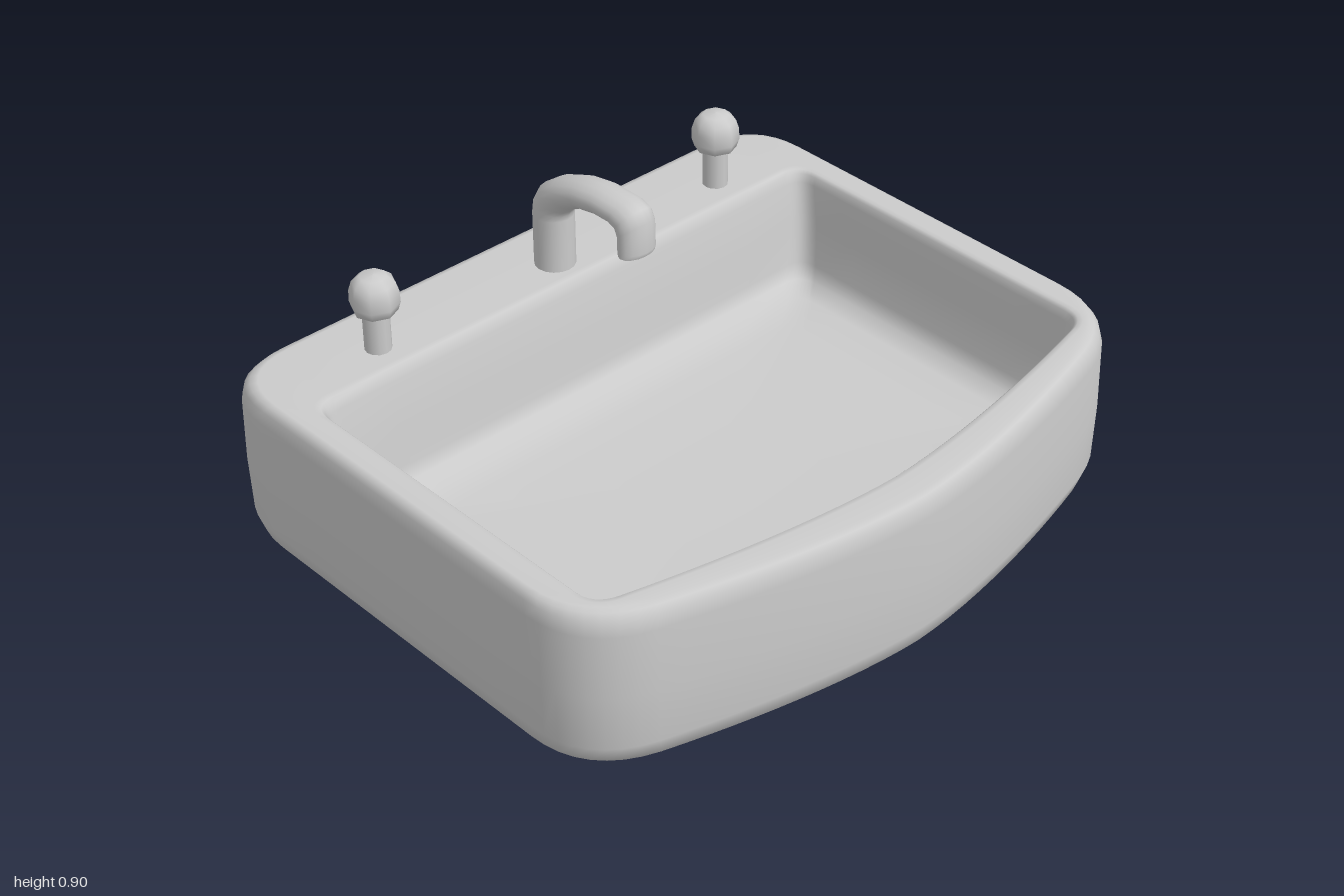
import * as THREE from 'three';

const material = new THREE.MeshStandardMaterial({ color: 0xcccccc, side: THREE.DoubleSide });

// Skin a list of closed rings (counter-clockwise about the travel direction), closing both ends.
function loft(rings, sharpEnds = false) {
  const n = rings[0].length, positions = [], index = [];
  const push = (p) => positions.push(p.x, p.y, p.z) / 3 - 1;
  rings.forEach((ring) => ring.forEach(push));
  for (let r = 0; r < rings.length - 1; r++) {
    for (let i = 0; i < n; i++) {
      const a = r * n + i, b = r * n + (i + 1) % n;
      index.push(a, b, b + n, a, b + n, a + n);
    }
  }
  const close = (r, flip) => {
    const ring = rings[r];
    const start = sharpEnds ? positions.length / 3 : r * n;
    if (sharpEnds) ring.forEach(push);
    const centre = new THREE.Vector3();
    ring.forEach((p) => centre.addScaledVector(p, 1 / n));
    const c = push(centre);
    for (let i = 0; i < n; i++) {
      const a = start + i, b = start + (i + 1) % n;
      if (flip) index.push(c, b, a);
      else index.push(c, a, b);
    }
  };
  close(0, true);
  close(rings.length - 1, false);
  const geometry = new THREE.BufferGeometry();
  geometry.setAttribute('position', new THREE.Float32BufferAttribute(positions, 3));
  geometry.setIndex(index);
  geometry.computeVertexNormals();
  return geometry;
}

// Plan outline: straight back and sides, rounded corners, bowed front.
function outline(y, back, frontCorner, frontMiddle, halfZ, radius) {
  const bow = (z) => frontMiddle - (frontMiddle - frontCorner) * Math.pow(z / halfZ, 1.6);
  const half = [];
  const add = (x, z) => half.push(new THREE.Vector3(x, y, -z));
  const corner = (x0, z0, cx, cz, x1, z1) => {
    const curve = new THREE.QuadraticBezierCurve(
      new THREE.Vector2(x0, z0), new THREE.Vector2(cx, cz), new THREE.Vector2(x1, z1));
    curve.getPoints(8).forEach((p) => add(p.x, p.y));
  };
  const edge = halfZ - radius;
  for (let i = 0; i < 12; i++) add(bow(edge * i / 12), edge * i / 12);
  corner(bow(edge), edge, frontCorner, halfZ, frontCorner - radius, halfZ);
  for (let i = 1; i < 6; i++) {
    add(THREE.MathUtils.lerp(frontCorner - radius, back + radius, i / 6), halfZ);
  }
  corner(back + radius, halfZ, back, halfZ, back, edge);
  for (let i = 1; i <= 5; i++) add(back, edge * (1 - i / 5));
  const mirrored = half.slice(1, -1).reverse().map((p) => new THREE.Vector3(p.x, y, -p.z));
  return half.concat(mirrored);
}

function makeBasin() {
  // y, back x, front corner x, front middle x, half depth, corner radius
  const levels = [
    [0.0, -0.3, 0.2, 0.3, 0.38, 0.1],
    [0.012, -0.6, 0.44, 0.59, 0.74, 0.15],
    [0.028, -0.74, 0.54, 0.73, 0.89, 0.18],
    [0.045, -0.795, 0.585, 0.785, 0.945, 0.19],
    [0.075, -0.83, 0.615, 0.825, 0.98, 0.2],
    [0.13, -0.845, 0.63, 0.84, 0.995, 0.2],
    [0.3, -0.848, 0.633, 0.843, 1.0, 0.2],
    [0.49, -0.845, 0.63, 0.84, 0.998, 0.2],
    [0.53, -0.837, 0.622, 0.832, 0.992, 0.2],
    [0.548, -0.822, 0.61, 0.82, 0.982, 0.2],
    [0.555, -0.8, 0.6, 0.805, 0.968, 0.19],
    [0.555, -0.56, 0.585, 0.735, 0.915, 0.08],
    [0.554, -0.54, 0.575, 0.72, 0.902, 0.07],
    [0.545, -0.53, 0.567, 0.712, 0.894, 0.065],
    [0.52, -0.522, 0.56, 0.706, 0.888, 0.06],
    [0.4, -0.495, 0.55, 0.695, 0.875, 0.06],
    [0.27, -0.48, 0.535, 0.68, 0.86, 0.06],
    [0.225, -0.465, 0.515, 0.66, 0.84, 0.06],
    [0.2, -0.42, 0.47, 0.61, 0.79, 0.06],
    [0.19, -0.33, 0.39, 0.51, 0.67, 0.06],
    [0.185, -0.12, 0.19, 0.25, 0.33, 0.05],
  ];
  return loft(levels.map((level) => outline(...level)));
}

function makeSpout() {
  // Outer and inner edge of the neck in the side plane: x, y, x, y
  const pairs = [
    [-0.695, 0.54, -0.575, 0.54], [-0.695, 0.72, -0.575, 0.72],
    [-0.688, 0.765, -0.573, 0.735], [-0.665, 0.805, -0.562, 0.753],
    [-0.6, 0.852, -0.535, 0.778], [-0.51, 0.888, -0.48, 0.806],
    [-0.42, 0.904, -0.41, 0.819], [-0.31, 0.904, -0.36, 0.819],
    [-0.267, 0.89, -0.337, 0.808], [-0.248, 0.855, -0.331, 0.79],
    [-0.245, 0.765, -0.332, 0.765], [-0.252, 0.75, -0.325, 0.75],
  ];
  const sides = 16;
  const rings = pairs.map(([ox, oy, ix, iy]) => Array.from({ length: sides }, (_, i) => {
    const a = i / sides * Math.PI * 2, c = Math.cos(a) / 2;
    return new THREE.Vector3(
      (ox + ix) / 2 + (ox - ix) * c, (oy + iy) / 2 + (oy - iy) * c, Math.sin(a) * 0.06 - 0.025);
  }));
  return loft(rings, true);
}

function makeHandle(name, z) {
  const group = new THREE.Group();
  group.name = name;
  const stem = new THREE.Mesh(new THREE.CylinderGeometry(0.038, 0.038, 0.15, 12), material);
  stem.name = 'handleStem';
  stem.position.y = 0.615;
  // Domed knob with eight sides
  const profile = [[0, 0.67], [0.045, 0.67], [0.062, 0.68], [0.07, 0.705], [0.069, 0.74],
    [0.06, 0.768], [0.038, 0.787], [0, 0.791]].map(([x, y]) => new THREE.Vector2(x, y));
  const knob = new THREE.Mesh(new THREE.LatheGeometry(profile, 8), material);
  knob.name = 'handleKnob';
  group.add(stem, knob);
  group.position.set(-0.637, 0, z);
  return group;
}

export function createModel() {
  const sink = new THREE.Group();
  sink.name = 'sink';
  const basin = new THREE.Mesh(makeBasin(), material);
  basin.name = 'basin';
  const spout = new THREE.Mesh(makeSpout(), material);
  spout.name = 'spout';
  sink.add(basin, spout, makeHandle('frontHandle', 0.605), makeHandle('backHandle', -0.65));
  return sink;
}
